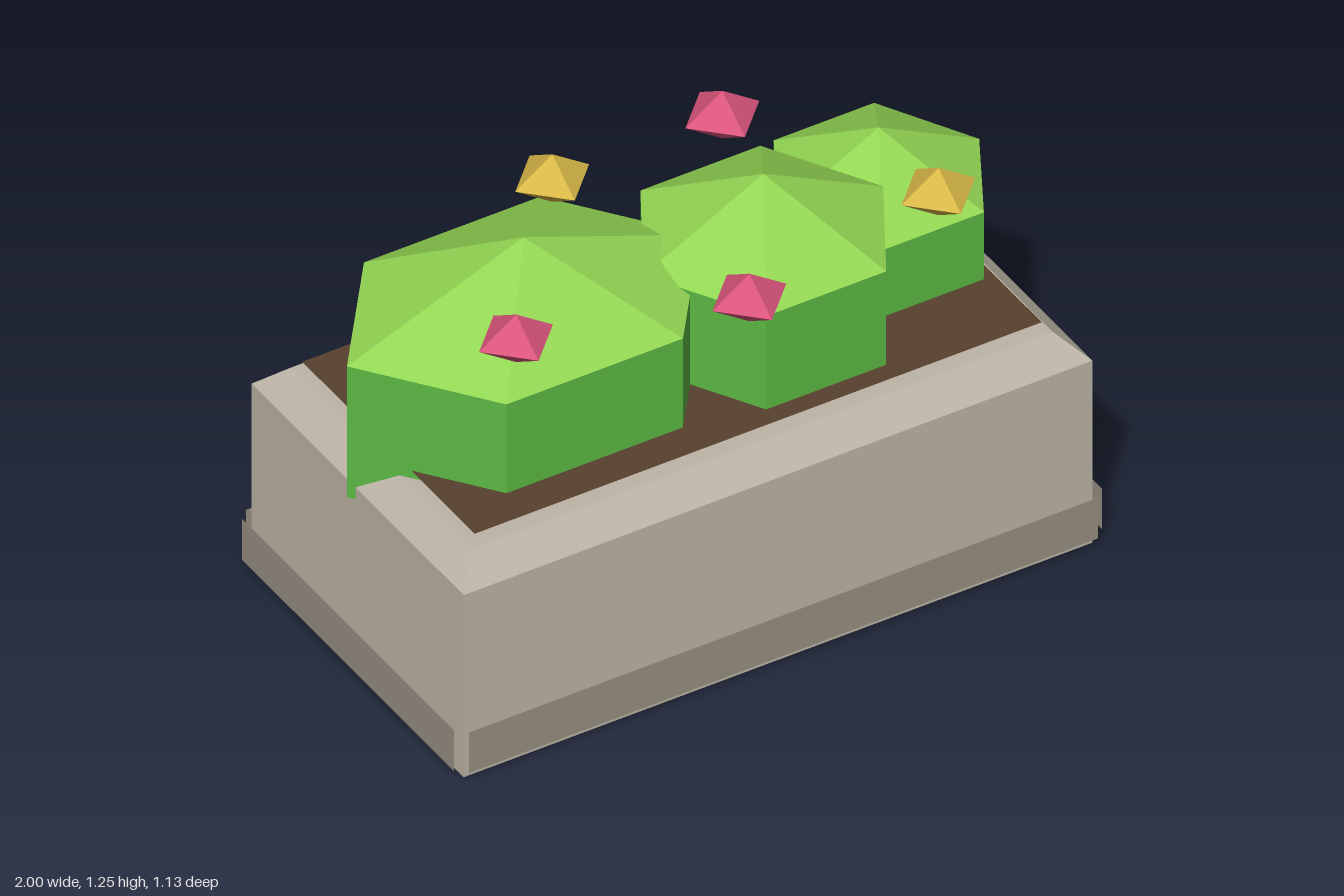
import * as THREE from 'three';

const mat = (name, color, extra = {}) => {
  const m = new THREE.MeshStandardMaterial({ color, flatShading: true, ...extra });
  m.name = name;
  return m;
};

// Four-sided shell through rectangular rings [halfX, y, halfZ], closed on top, open below
function ringShell(rings) {
  const pos = [], index = [];
  for (const [x, y, z] of rings) pos.push(-x, y, z, x, y, z, x, y, -z, -x, y, -z);
  for (let r = 0; r < rings.length - 1; r++) {
    for (let i = 0; i < 4; i++) {
      const a = r * 4 + i, b = r * 4 + (i + 1) % 4;
      index.push(a, b, b + 4, a, b + 4, a + 4);
    }
  }
  const t = (rings.length - 1) * 4;
  index.push(t, t + 1, t + 2, t, t + 2, t + 3);
  const g = new THREE.BufferGeometry();
  g.setAttribute('position', new THREE.Float32BufferAttribute(pos, 3));
  g.setIndex(index);
  const flat = g.toNonIndexed();
  flat.computeVertexNormals();
  return flat;
}

export function createModel() {
  const group = new THREE.Group();
  group.name = 'flowerPlanter';

  const stone = mat('stone', 0xbdb5a6, { side: THREE.DoubleSide });
  const darkStone = mat('darkStone', 0x988f81, { side: THREE.DoubleSide });
  const soilBrown = mat('soilBrown', 0x58402d, { side: THREE.DoubleSide });
  const leafGreen = mat('leafGreen', 0x5bb843);
  const lightLeaf = mat('lightLeaf', 0x93d653);
  const pink = mat('pinkPetal', 0xd9547b);
  const gold = mat('goldPetal', 0xd6b646);

  const add = (name, geometry, material, parent = group) => {
    const mesh = new THREE.Mesh(geometry, material);
    mesh.name = name;
    parent.add(mesh);
    return mesh;
  };

  // Stone trough with a bevelled rim
  add('trough', ringShell([[0.97, 0, 0.535], [0.97, 0.605, 0.535], [0.895, 0.68, 0.457]]), stone);

  // Thin soil sheet just above the rim
  add('soil', new THREE.PlaneGeometry(1.75, 0.87).rotateX(-Math.PI / 2).translate(0, 0.705, 0), soilBrown);

  // Base band: a thin sheet standing off each wall
  for (let i = 0; i < 4; i++) {
    const long = i % 2 === 0;
    const band = new THREE.PlaneGeometry(long ? 1.94 : 1.07, 0.135)
      .translate(0, 0.1, long ? 0.563 : 1.0)
      .rotateY(i * Math.PI / 2);
    add('baseBand', band, darkStone);
  }

  // Six-sided bushes with pointed tops: x, z, radiusX, radiusZ, bottom, eaves, peak
  const bushes = [
    [-0.44, -0.03, 0.545, 0.415, 0.565, 1.0, 1.21],
    [0.245, 0.06, 0.37, 0.367, 0.57, 1.015, 1.205],
    [0.687, -0.08, 0.31, 0.32, 0.583, 0.927, 1.09],
  ];
  for (const [x, z, rx, rz, y0, y1, y2] of bushes) {
    const bush = new THREE.Group();
    bush.name = 'bush';
    bush.position.set(x, 0, z);
    group.add(bush);
    const body = new THREE.CylinderGeometry(1, 1, 1, 6, 1, false, Math.PI / 2)
      .scale(rx, y1 - y0, rz).translate(0, (y0 + y1) / 2, 0);
    const crown = new THREE.ConeGeometry(1, 1, 6, 1, true, Math.PI / 2)
      .scale(rx, y2 - y1, rz).translate(0, (y1 + y2) / 2, 0);
    add('bushBody', body, leafGreen, bush);
    add('bushCrown', crown, lightLeaf, bush);
  }

  // Diamond-shaped flowers
  const flowers = [
    [-0.63, 1.13, 0.243, pink],
    [0.037, 1.055, 0.33, pink],
    [0.31, 1.17, -0.253, pink],
    [-0.215, 1.17, -0.253, gold],
    [0.715, 1.033, 0.175, gold],
  ];
  for (const [x, y, z, material] of flowers) {
    add('flower', new THREE.OctahedronGeometry(1).scale(0.114, 0.079, 0.114), material).position.set(x, y, z);
  }

  return group;
}
